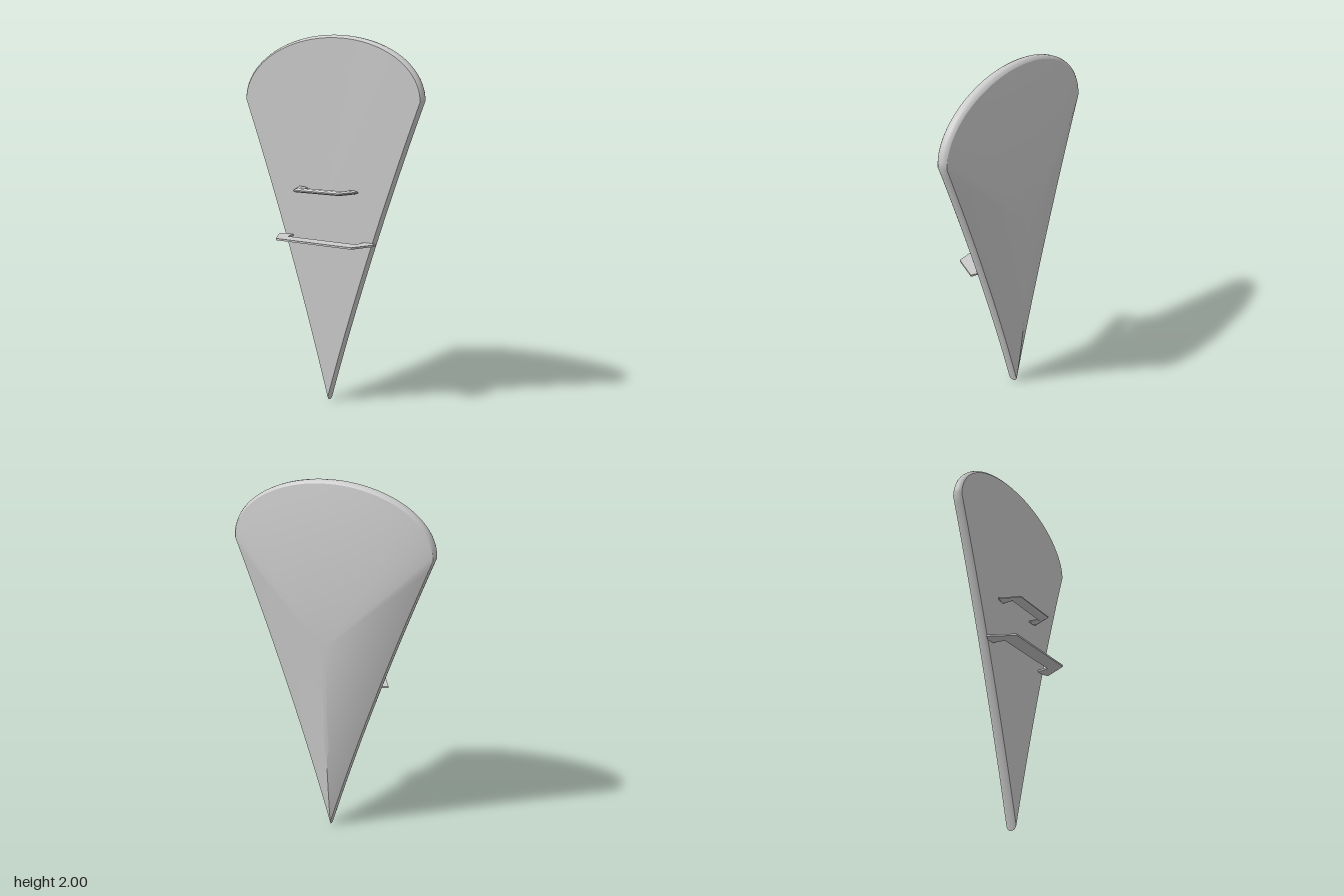
import * as THREE from 'three';
import { toCreasedNormals } from 'three/addons/utils/BufferGeometryUtils.js';

const CENTER_Y = 1.15;

// Teardrop outline, counter-clockwise seen from the front, starting at the tip
function makeOutline() {
  const v = (x, y) => new THREE.Vector2(x, y);
  const side = new THREE.QuadraticBezierCurve(v(0, 0), v(0.235, 0.85), v(0.543, 1.67)).getPoints(32);
  const points = side.slice();
  const arcSteps = 48;
  for (let i = 1; i < arcSteps; i++) {
    const a = (i / arcSteps) * Math.PI;
    points.push(v(0.543 * Math.cos(a), 1.67 + 0.33 * Math.sin(a)));
  }
  for (let i = side.length - 1; i > 0; i--) points.push(v(-side[i].x, side[i].y));
  return points;
}

// Joins scaled copies of the outline; each section is [scale, z], front to back
function loft(outline, sections, crease) {
  const positions = [];
  const n = outline.length;
  const at = (j, i) => {
    const [s, z] = sections[j];
    const p = outline[i % n];
    return [p.x * s, CENTER_Y + (p.y - CENTER_Y) * s, z];
  };
  for (let j = 0; j < sections.length - 1; j++) {
    for (let i = 0; i < n; i++) {
      const a = at(j, i), b = at(j, i + 1), c = at(j + 1, i + 1), d = at(j + 1, i);
      if (sections[j + 1][0] > 0) positions.push(...a, ...d, ...c);
      if (sections[j][0] > 0) positions.push(...a, ...c, ...b);
    }
  }
  const geometry = new THREE.BufferGeometry();
  geometry.setAttribute('position', new THREE.Float32BufferAttribute(positions, 3));
  return toCreasedNormals(geometry, crease);
}

// Flat bracket in the x-z plane, mirrored from its right half and centred on height y
function bracket(half, y, thickness, bevel) {
  const mirrored = half.map(([x, z]) => [-x, z]).reverse();
  const shape = new THREE.Shape([...half, ...mirrored].map(([x, z]) => new THREE.Vector2(x, z)));
  const bevelHeight = bevel ? thickness * 0.35 : 0;
  const geometry = new THREE.ExtrudeGeometry(shape, {
    depth: thickness - 2 * bevelHeight,
    bevelEnabled: bevel > 0,
    bevelSegments: 1,
    bevelSize: bevel,
    bevelOffset: -bevel,
    bevelThickness: bevelHeight,
  });
  geometry.translate(0, 0, bevelHeight - thickness / 2);
  geometry.rotateX(Math.PI / 2);
  geometry.translate(0, y, 0);
  return geometry;
}

export function createModel() {
  const group = new THREE.Group();
  const grey = new THREE.MeshStandardMaterial({ color: 0xcccccc });
  grey.name = 'light grey';
  const add = (name, geometry) => {
    const mesh = new THREE.Mesh(geometry, grey);
    mesh.name = name;
    group.add(mesh);
  };
  const outline = makeOutline();

  // Flat inner face and rounded rim
  add('innerFace', loft(outline, [[0, -0.012], [0.982, -0.012]], 0.5));
  add('rim', loft(outline, [
    [0.982, -0.012], [0.994, -0.02], [1, -0.032], [1, -0.048], [0.994, -0.06], [0.982, -0.068],
  ], 0.6));

  // Domed outer face rising to a peak
  const dome = [];
  const rings = 20;
  for (let k = 0; k <= rings; k++) {
    const t = 1 - k / rings;
    dome.push([0.982 * t, -0.068 - 0.075 * (1 - t * t)]);
  }
  add('domedFace', loft(outline, dome, 0.55));

  // Bevelled hand grip
  add('handGrip', bracket([
    [0.143, 0.107], [0.19, -0.004], [0.165, -0.014], [0.13, -0.014], [0.13, 0.045],
  ], 1.19, 0.02, 0.013));

  // Thin, wide arm brace
  add('armBrace', bracket([
    [0.235, 0.14], [0.307, 0.004], [0.27, -0.013], [0.225, -0.013], [0.215, 0.055],
  ], 0.922, 0.01, 0));

  return group;
}
